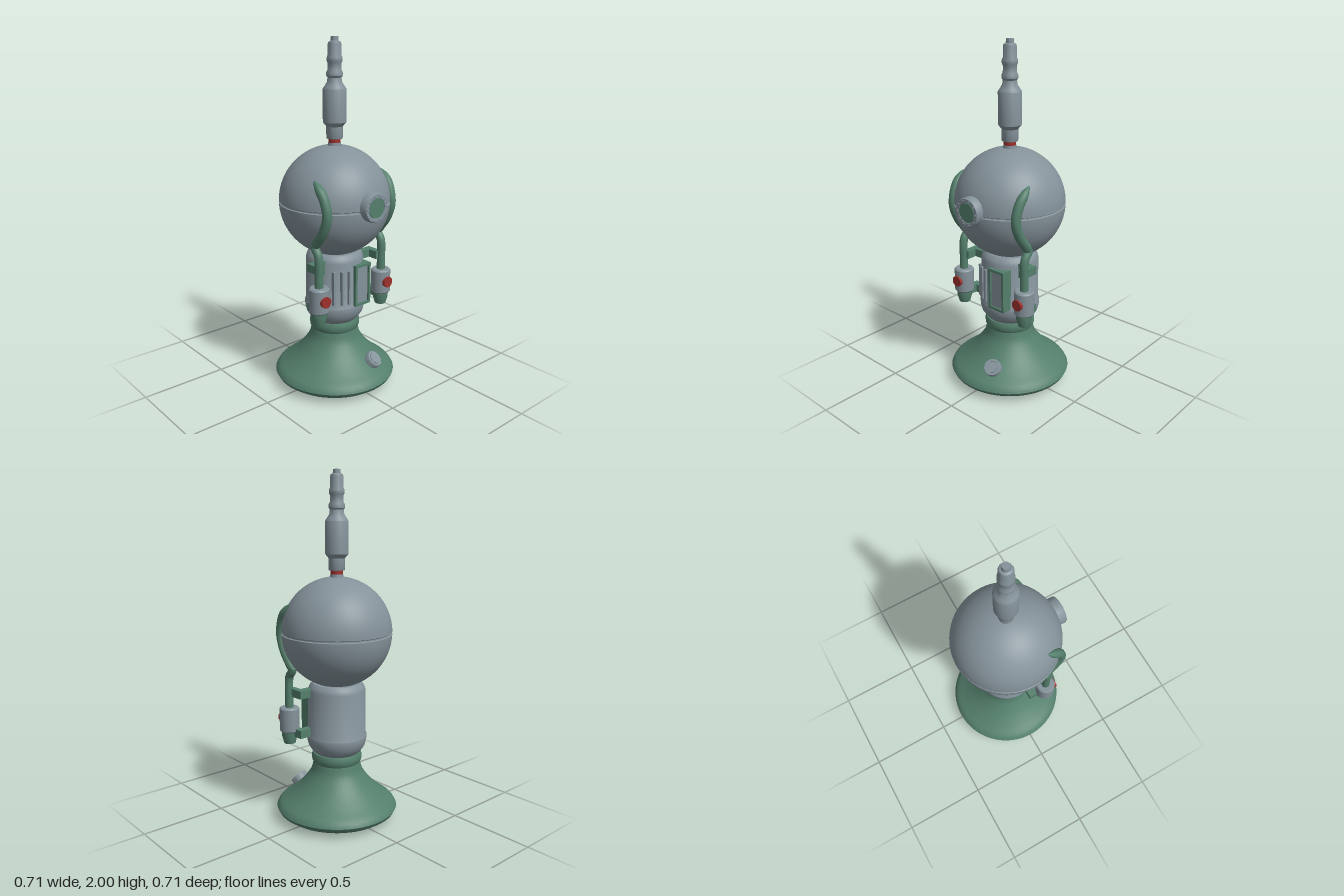
import * as THREE from 'three';
import { toCreasedNormals } from 'three/addons/utils/BufferGeometryUtils.js';

const steel = new THREE.MeshStandardMaterial({ name: 'steel grey', color: 0x84929a });
const green = new THREE.MeshStandardMaterial({ name: 'sea green', color: 0x547f6c });
const red = new THREE.MeshStandardMaterial({ name: 'signal red', color: 0x9c302b });

function add(parent, name, geometry, material, x = 0, y = 0, z = 0) {
  const mesh = new THREE.Mesh(geometry, material);
  mesh.name = name;
  mesh.position.set(x, y, z);
  parent.add(mesh);
  return mesh;
}

// Turned part from [radius, height] pairs, listed bottom to top
function turned(profile, segments = 48) {
  const points = profile.map(([r, y]) => new THREE.Vector2(r, y));
  return toCreasedNormals(new THREE.LatheGeometry(points, segments), 0.6);
}

// Smooth profile through a few points, closed at both ends
function smoothProfile(pairs, n) {
  const curve = new THREE.SplineCurve(pairs.map(([r, y]) => new THREE.Vector2(r, y)));
  return curve.getPoints(n).map((p) => [p.x, p.y]);
}

// Tube whose thickness follows a rule along the path
function taperedTube(points, radius, rule, steps = 40) {
  const path = new THREE.CatmullRomCurve3(points.map((p) => new THREE.Vector3(...p)));
  const sides = 16;
  const geometry = new THREE.TubeGeometry(path, steps, radius, sides);
  const pos = geometry.attributes.position;
  const v = new THREE.Vector3();
  for (let i = 0; i < pos.count; i++) {
    const t = Math.floor(i / (sides + 1)) / steps;
    const centre = path.getPointAt(t);
    v.fromBufferAttribute(pos, i).sub(centre).multiplyScalar(rule(t)).add(centre);
    pos.setXYZ(i, v.x, v.y, v.z);
  }
  geometry.computeVertexNormals();
  return geometry;
}

// Round fitting that faces +z: rim, raised face and a ring of bolts
function roundFitting(name, r, depth, faceMaterial, bolts) {
  const g = new THREE.Group();
  g.name = name;
  const rim = add(g, name + 'Rim', turned([[0, 0], [r, 0], [r, depth * 0.85], [r * 0.94, depth],
    [r * 0.7, depth], [r * 0.68, depth * 0.85], [0, depth * 0.85]], 32), steel);
  rim.rotation.x = Math.PI / 2;
  const face = add(g, name + 'Face', new THREE.CylinderGeometry(r * 0.66, r * 0.66, 0.008, 32),
    faceMaterial, 0, 0, depth * 0.85 + 0.004);
  face.rotation.x = Math.PI / 2;
  for (let i = 0; i < bolts; i++) {
    const a = (i / bolts) * Math.PI * 2;
    add(g, name + 'Bolt', new THREE.SphereGeometry(r * 0.06, 8, 6), steel,
      Math.cos(a) * r * 0.83, Math.sin(a) * r * 0.83, depth);
  }
  return g;
}

// Side arm: canister, nozzle, pipe, crescent and brackets
function makeArm(side) {
  const arm = new THREE.Group();
  arm.name = side > 0 ? 'leftArm' : 'rightArm';
  const x = side * 0.235, z = 0.145;

  add(arm, 'canister', turned([[0, 0.53], [0.05, 0.53], [0.057, 0.538], [0.057, 0.667],
    [0.05, 0.675], [0, 0.675]], 32), steel, x, 0, z);
  add(arm, 'nozzle', turned([[0, 0.46], [0.033, 0.46], [0.045, 0.505], [0.045, 0.535], [0, 0.535]], 24),
    green, x, 0, z);
  const button = add(arm, 'button', new THREE.CylinderGeometry(0.032, 0.032, 0.03, 24), red, x, 0.605, 0.196);
  button.rotation.x = Math.PI / 2;

  add(arm, 'pipe', taperedTube([[x, 0.66, z], [x, 0.75, z], [x, 0.83, z], [x, 0.862, 0.137],
    [x, 0.89, 0.115], [x, 0.915, 0.105]], 0.024, () => 1), green);
  const lean = side * 0.008;
  add(arm, 'crescent', taperedTube([[x, 0.885, 0.1], [x, 0.935, 0.136], [x, 1.0, 0.185], [x, 1.09, 0.216],
    [x + lean / 2, 1.18, 0.195], [x + lean, 1.235, 0.155], [x + lean, 1.27, 0.12]], 0.027,
    (t) => (t > 0.8 ? 1 - 0.85 * ((t - 0.8) / 0.2) ** 2 : t < 0.1 ? 0.6 + 4 * t : 1)), green);

  for (const [name, y] of [['upperBracket', 0.763], ['lowerBracket', 0.53]]) {
    add(arm, name, new THREE.BoxGeometry(0.11, 0.046, 0.045), green, side * 0.165, y, 0.0635);
    add(arm, name + 'Lug', new THREE.BoxGeometry(0.04, 0.046, 0.105), green, side * 0.215, y, 0.0935);
  }
  return arm;
}

export function createModel() {
  const model = new THREE.Group();
  model.name = 'robot';

  // Flared base with collar
  const flare = smoothProfile([[0.355, 0.065], [0.335, 0.095], [0.275, 0.14], [0.21, 0.2],
    [0.155, 0.275], [0.137, 0.335]], 24);
  add(model, 'base', turned([[0, 0], [0.255, 0], [0.315, 0.024], [0.345, 0.045], ...flare,
    [0.145, 0.35], [0.147, 0.375], [0.14, 0.395], [0, 0.4]], 64), green);

  const baseKnob = roundFitting('baseKnob', 0.05, 0.035, steel, 0);
  baseKnob.position.set(0.083, 0.155, 0.235);
  baseKnob.rotation.order = 'YXZ';
  baseKnob.rotation.set(-0.8, 0.34, 0);
  model.add(baseKnob);

  // Torso
  add(model, 'torso', turned([[0, 0.385], [0.125, 0.39], [0.145, 0.41], [0.165, 0.44], [0.173, 0.47],
    [0.175, 0.5], [0.168, 0.512], [0.166, 0.77], [0.158, 0.795], [0.14, 0.812], [0, 0.815]]), steel);

  // Torso door with raised frame
  const frame = new THREE.Shape([[0, 0.505], [0.115, 0.505], [0.115, 0.752], [0, 0.752]]
    .map((p) => new THREE.Vector2(...p)));
  frame.holes.push(new THREE.Path([[0.015, 0.52], [0.015, 0.737], [0.1, 0.737], [0.1, 0.52]]
    .map((p) => new THREE.Vector2(...p))));
  add(model, 'doorFrame', new THREE.ExtrudeGeometry(frame, { depth: 0.065, bevelEnabled: false }),
    green, 0, 0, 0.12);
  add(model, 'door', new THREE.BoxGeometry(0.09, 0.22, 0.05), steel, 0.0575, 0.6285, 0.15);

  // Vent ribs
  for (const x of [-0.113, -0.075, -0.036]) {
    add(model, 'ventRib', new THREE.BoxGeometry(0.014, 0.2, 0.03), steel,
      x, 0.628, Math.sqrt(0.167 ** 2 - x * x));
  }

  // Round head with a seam groove
  const R = 0.315, cy = 1.105, half = 0.022, head = [];
  const arc = (from, to) => {
    for (let i = 0; i <= 24; i++) {
      const a = from + ((to - from) * i) / 24;
      head.push([Math.max(0, R * Math.cos(a)), cy + R * Math.sin(a)]);
    }
  };
  arc(-Math.PI / 2, -half);
  head.push([0.308, cy - 0.003], [0.308, cy + 0.003]);
  arc(half, Math.PI / 2);
  add(model, 'head', turned(head, 64), steel);

  const porthole = roundFitting('porthole', 0.082, 0.055, green, 10);
  porthole.position.set(0, 1.125, 0.292);
  model.add(porthole);

  // Antenna
  add(model, 'antennaFoot', new THREE.CylinderGeometry(0.036, 0.04, 0.03, 32), steel, 0, 1.418, 0);
  add(model, 'antennaRing', new THREE.CylinderGeometry(0.034, 0.034, 0.03, 32), red, 0, 1.443, 0);
  add(model, 'antenna', turned([[0, 1.455], [0.044, 1.455], [0.046, 1.46], [0.046, 1.522], [0.065, 1.545],
    [0.065, 1.725], [0.055, 1.74], [0.042, 1.76], [0.038, 1.785], [0.045, 1.795], [0.045, 1.812],
    [0.038, 1.825], [0.037, 1.86], [0.043, 1.872], [0.043, 1.89], [0.037, 1.903], [0.037, 1.96],
    [0.033, 1.972], [0.022, 1.977], [0.02, 2], [0, 2]], 32), steel);

  model.add(makeArm(1), makeArm(-1));
  return model;
}
